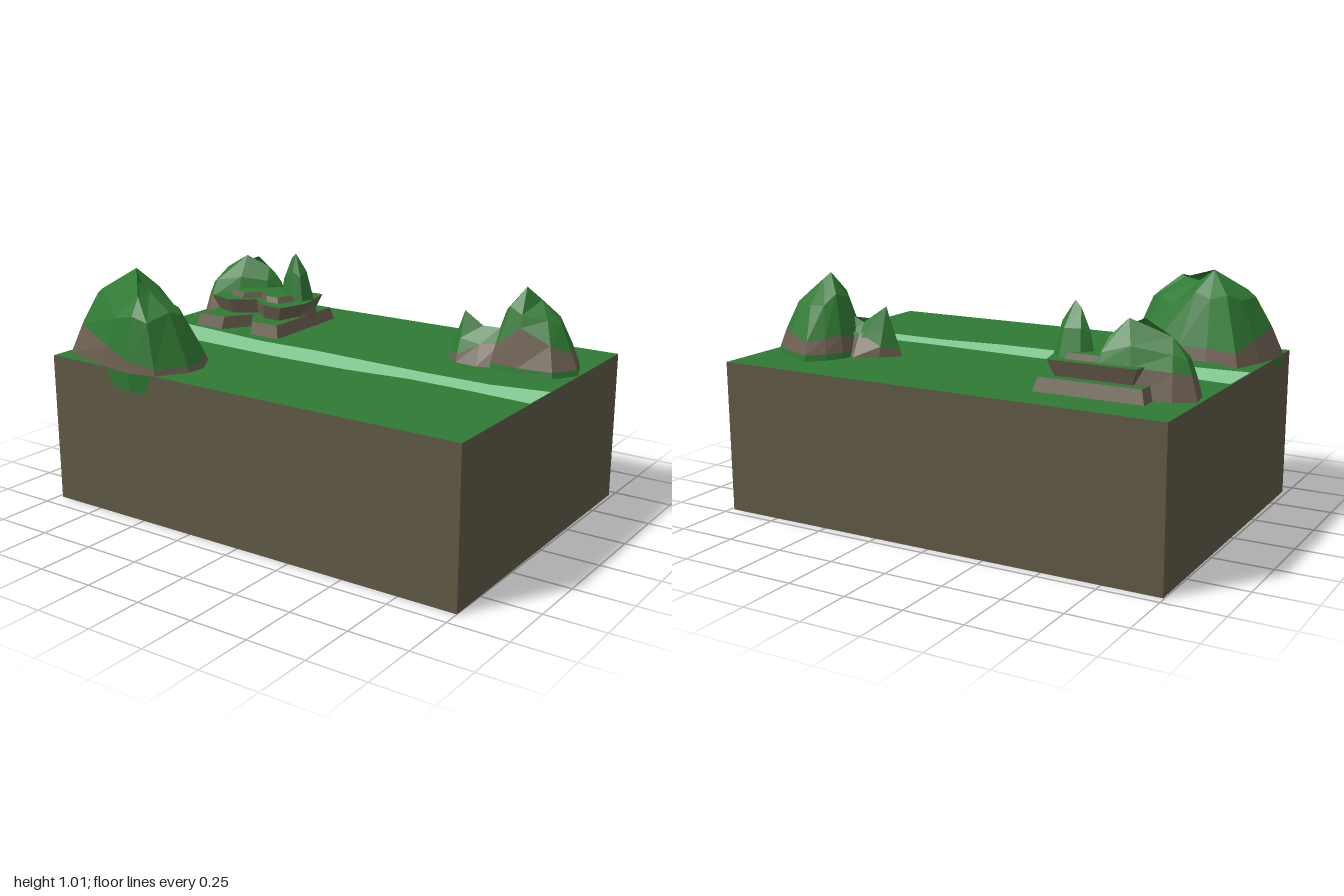
import * as THREE from 'three';

const GROUND = 0.645;
const material = (color) => new THREE.MeshStandardMaterial({ color, flatShading: true, side: THREE.DoubleSide });
const grass = material(0x2f7a33);
const rock = material(0x6b5e4f);
const soil = material(0x5f5745);
const water = material(0x88cc95);

function mesh(name, geometry, mat) {
  const m = new THREE.Mesh(geometry, mat);
  m.name = name;
  return m;
}

// Closed band of faces between two rings that run clockwise seen from above
function band(name, lower, upper, mat) {
  const pos = [];
  lower.forEach((a, i) => {
    const j = (i + 1) % lower.length;
    for (const p of [lower[j], a, upper[i], lower[j], upper[i], upper[j]]) pos.push(p.x, p.y, p.z);
  });
  const g = new THREE.BufferGeometry();
  g.setAttribute('position', new THREE.Float32BufferAttribute(pos, 3));
  g.computeVertexNormals();
  return mesh(name, g, mat);
}

// Flat horizontal surface from an outline of [x, z]
function flat(name, outline, y, mat) {
  const shape = new THREE.Shape(outline.map(([x, z]) => new THREE.Vector2(x, -z)));
  const g = new THREE.ShapeGeometry(shape).rotateX(-Math.PI / 2).translate(0, y, 0);
  return mesh(name, g, mat);
}

const ring = (outline, y) => outline.map(([x, z]) => new THREE.Vector3(x, y, z));

// Scales an outline about a centre
const inset = (outline, s, cx, cz) => outline.map(([x, z]) => [cx + (x - cx) * s, cz + (z - cz) * s]);

// Nearest point on the ridge line, judged in plan
function nearest(ridge, p) {
  let best = null, bestD = Infinity;
  for (let i = 0; i < ridge.length; i++) {
    const a = ridge[i], b = ridge[Math.min(i + 1, ridge.length - 1)];
    for (let t = 0; t <= 1; t += 0.25) {
      const q = a.clone().lerp(b, t);
      const d = Math.hypot(q.x - p.x, q.z - p.z);
      if (d < bestD) { bestD = d; best = q; }
    }
  }
  return best;
}

// Craggy hill: outline of [x, z, height of rock], ridge of [x, y, z],
// shoulder = [share of the way in, share of the way up]
function hill(name, outline, ridgePts, [k, h], { skirt = 0, foot = 0 } = {}) {
  const group = new THREE.Group();
  group.name = name;
  const ridge = ridgePts.map((p) => new THREE.Vector3(...p));
  const base = ring(outline, GROUND);
  const tops = base.map((p) => nearest(ridge, p));
  const at = (i, inward, y) => base[i].clone().lerp(tops[i], inward).setY(y);
  const low = base.map((p, i) => at(i, k * 0.06, GROUND + foot));
  const rockTop = base.map((p, i) => {
    const y = outline[i][2];
    return at(i, 0.85 * k * (y - GROUND) / (h * (tops[i].y - GROUND)), y);
  });
  const shoulder = base.map((p, i) => {
    const wobble = i % 2 ? 0.04 : -0.03;
    return at(i, k + wobble, GROUND + (tops[i].y - GROUND) * (h + wobble));
  });
  if (skirt) group.add(band('skirt', base.map((p, i) => at(i, 0.08, GROUND - skirt)), base, grass));
  if (foot) group.add(band('grassFoot', base, low, grass));
  group.add(band('rockBand', foot ? low : base, rockTop, rock));
  group.add(band('lowerSlope', rockTop, shoulder, grass));
  group.add(band('upperSlope', shoulder, tops, grass));
  return group;
}

// Flat step with rock sides and a grass top
function terrace(name, bottom, top, y0, y1) {
  const group = new THREE.Group();
  group.name = name;
  group.add(band('terraceSide', ring(bottom, y0), ring(top, y1), rock));
  group.add(flat('terraceTop', top, y1, grass));
  return group;
}

export function createModel() {
  const model = new THREE.Group();
  model.name = 'landscapeBlock';

  // Soil block, open underneath
  const plan = [[-0.995, -0.71], [0.985, -0.71], [1, 0.675], [-0.98, 0.675]];
  model.add(band('soilWalls', ring(plan, 0), ring(plan, GROUND), soil));
  model.add(flat('lawn', plan, GROUND, grass));

  // Stream
  model.add(flat('stream', [
    [-0.985, -0.07], [-0.7, -0.045], [-0.4, -0.01], [-0.1, -0.015], [0.2, 0], [0.45, 0.01], [0.75, 0.01], [0.992, -0.035],
    [0.994, 0.145], [0.73, 0.13], [0.45, 0.125], [0.17, 0.155], [-0.2, 0.16], [-0.68, 0.14], [-0.985, 0.16],
  ], GROUND + 0.002, water));

  // Large front hill, its skirt pushing through the front wall
  model.add(hill('frontHill', [
    [-0.96, 0.35, 0.74], [-0.91, 0.21, 0.7], [-0.75, 0.27, 0.7], [-0.62, 0.26, 0.7], [-0.5, 0.29, 0.7],
    [-0.4, 0.35, 0.69], [-0.33, 0.46, 0.67], [-0.33, 0.55, 0.67], [-0.41, 0.67, 0.67], [-0.53, 0.7, 0.69],
    [-0.7, 0.67, 0.73], [-0.95, 0.6, 0.77], [-1, 0.54, 0.77],
  ], [[-0.72, 1.01, 0.42], [-0.6, 0.93, 0.5], [-0.52, 0.96, 0.56], [-0.53, 0.945, 0.62]], [0.45, 0.72], { skirt: 0.08 }));

  // Back right hill and its small companion
  model.add(hill('sideHill', [
    [0.59, -0.28, 0.7], [0.6, -0.42, 0.74], [0.64, -0.49, 0.73], [0.7, -0.55, 0.72], [0.85, -0.49, 0.74], [0.94, -0.42, 0.75],
    [0.985, -0.3, 0.73], [0.92, -0.2, 0.77], [0.77, -0.18, 0.83], [0.64, -0.2, 0.75],
  ], [[0.75, 0.985, -0.29], [0.8, 0.93, -0.33]], [0.5, 0.72], { foot: 0.025 }));
  model.add(hill('sideHillSpur', [
    [0.41, -0.26, 0.67], [0.48, -0.33, 0.69], [0.58, -0.38, 0.74], [0.68, -0.34, 0.74],
    [0.68, -0.22, 0.74], [0.58, -0.19, 0.73], [0.48, -0.2, 0.68],
  ], [[0.48, 0.855, -0.27], [0.59, 0.78, -0.28], [0.64, 0.8, -0.28]], [0.5, 0.5]));

  // Terraced outcrop with a notch in front
  const step = [[-0.83, -0.54], [-0.37, -0.54], [-0.36, -0.08], [-0.51, -0.08], [-0.6, -0.2], [-0.68, -0.08], [-0.83, -0.08]];
  const ledge = [[-0.78, -0.5], [-0.41, -0.5], [-0.36, -0.3], [-0.4, -0.155], [-0.5, -0.16], [-0.6, -0.24], [-0.7, -0.16], [-0.83, -0.2]];
  const knoll = inset(ledge, 0.7, -0.6, -0.37);
  model.add(terrace('lowerTerrace', step, inset(step, 0.93, -0.6, -0.32), GROUND, 0.7));
  model.add(terrace('middleTerrace', inset(ledge, 0.87, -0.6, -0.34), ledge, 0.7, 0.765));
  model.add(terrace('upperTerrace', knoll, inset(knoll, 0.92, -0.6, -0.37), 0.765, 0.79));

  // Ridge and spire rising from the outcrop
  model.add(hill('outcropRidge', [
    [-0.98, -0.4, 0.74], [-0.9, -0.45, 0.75], [-0.75, -0.48, 0.76], [-0.6, -0.49, 0.76], [-0.56, -0.44, 0.76],
    [-0.63, -0.35, 0.75], [-0.75, -0.28, 0.74], [-0.9, -0.24, 0.73], [-0.96, -0.3, 0.73],
  ], [[-0.86, 0.87, -0.36], [-0.72, 0.955, -0.38], [-0.63, 0.86, -0.42]], [0.45, 0.7]));
  model.add(hill('outcropSpire', [
    [-0.58, -0.4, 0.74], [-0.53, -0.46, 0.74], [-0.42, -0.46, 0.74], [-0.36, -0.4, 0.74],
    [-0.38, -0.31, 0.74], [-0.45, -0.29, 0.74], [-0.54, -0.32, 0.74],
  ], [[-0.49, 0.95, -0.37], [-0.46, 0.975, -0.36]], [0.5, 0.72]));

  return model;
}
